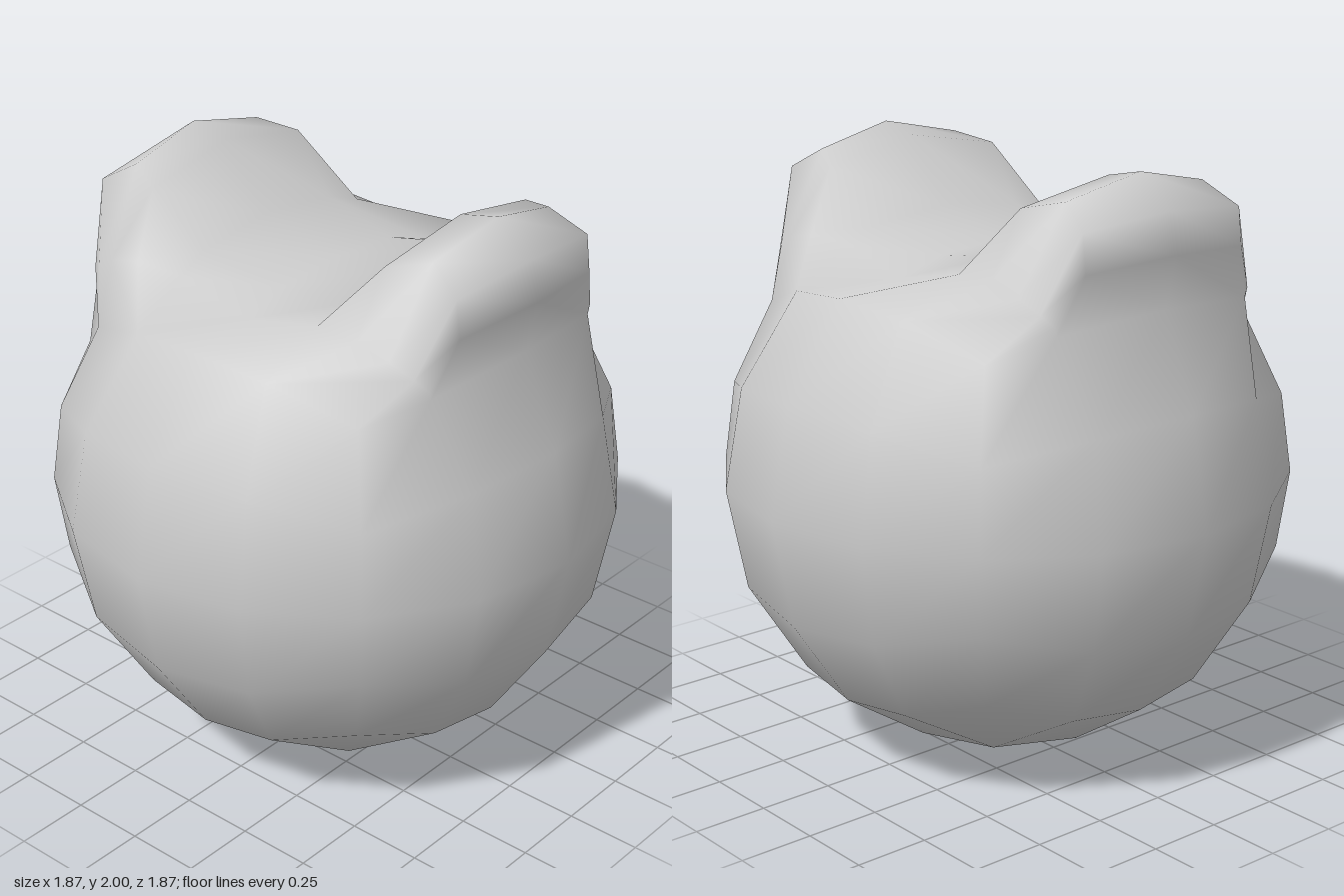
import * as THREE from 'three';
import { mergeVertices } from 'three/addons/utils/BufferGeometryUtils.js';

const RADIUS = 0.935, CENTRE = 0.94;

// Grid lines of a quarter of the ball; repeated lines close up away from the ears.
const U = [0, 0.5, 0.5, 0.5, 1, 1, 1];
const W = [0, 0.5, 0.5, 1];

// Crown and ear sections from the middle of the ear towards the forehead,
// each running from the centre line, over the ear and down to the side.
const SECTIONS = [
  [[0, 1.70, 0], [0.31, 1.76, 0], [0.48, 1.97, 0], [0.62, 2.0, 0], [0.75, 1.90, 0], [0.775, 1.77, 0], [0.74, 1.60, 0]],
  [[0, 1.68, 0.26], [0.30, 1.73, 0.30], [0.47, 1.91, 0.34], [0.60, 1.94, 0.28], [0.72, 1.87, 0.32], [0.735, 1.75, 0.32], [0.69, 1.57, 0.39]],
  [[0, 1.63, 0.42], [0.28, 1.69, 0.42], [0.45, 1.70, 0.44], [0.57, 1.67, 0.44], [0.65, 1.63, 0.42], [0.69, 1.60, 0.40], [0.69, 1.57, 0.39]],
];

// Point on the ball for a point of the cube with sides from -1 to 1
function onBall(x, y, z) {
  const t = (v) => Math.tan((v * Math.PI) / 4);
  return new THREE.Vector3(t(x), t(y), t(z)).setLength(RADIUS);
}

function createHeadGeometry() {
  const geo = new THREE.BoxGeometry(2, 2, 2, 12, 4, 6);
  geo.deleteAttribute('normal');
  geo.deleteAttribute('uv');
  const pos = geo.attributes.position;
  for (let n = 0; n < pos.count; n++) {
    const x = pos.getX(n), y = pos.getY(n), z = pos.getZ(n);
    const i = Math.round(Math.abs(x) * 6), k = Math.round(Math.abs(z) * 3);
    const sx = Math.sign(x), sz = Math.sign(z);
    if (y > 0.99 && k < 3) {
      // crown and ears
      const [px, py, pz] = SECTIONS[k][i];
      pos.setXYZ(n, px * sx, py, pz * sz);
    } else {
      // round body
      const p = onBall(U[i] * sx, Math.round(y * 2) / 2, W[k] * sz);
      pos.setXYZ(n, p.x, p.y + CENTRE, p.z);
    }
  }
  // join the closed-up lines and drop their empty triangles
  const merged = mergeVertices(geo, 1e-4);
  const src = merged.index.array, kept = [];
  for (let n = 0; n < src.length; n += 3) {
    const [a, b, c] = [src[n], src[n + 1], src[n + 2]];
    if (a !== b && b !== c && c !== a) kept.push(a, b, c);
  }
  merged.setIndex(kept);
  merged.computeVertexNormals();
  return merged;
}

export function createModel() {
  const group = new THREE.Group();
  group.name = 'earedBall';
  const head = new THREE.Mesh(
    createHeadGeometry(),
    new THREE.MeshStandardMaterial({ color: 0xcccccc })
  );
  head.name = 'headWithEars';
  group.add(head);
  return group;
}
